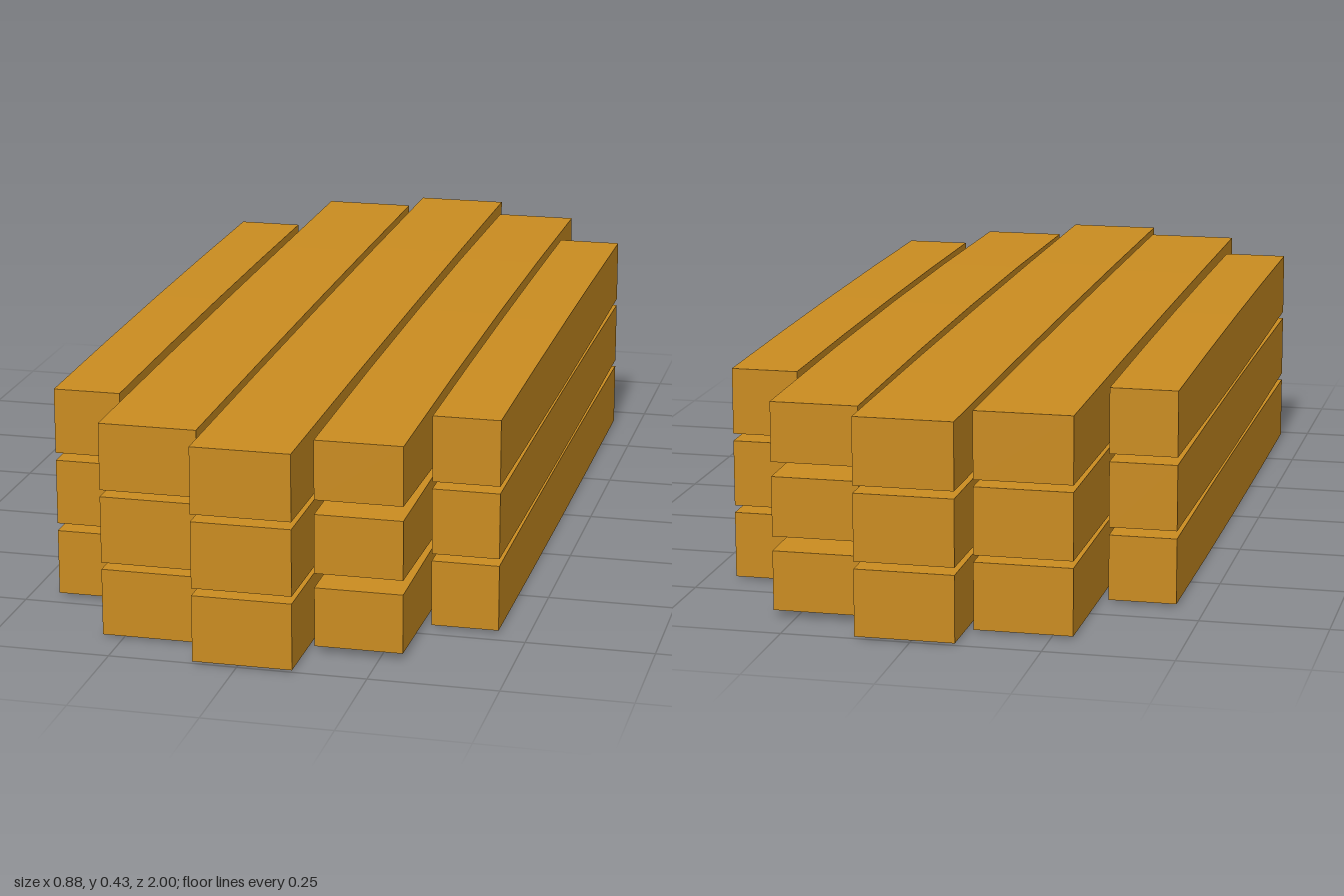
import * as THREE from 'three';

// One column of planks per entry: x range, z range, and how far the underside
// rises and the top drops towards the two ends
const COLUMNS = [
  { x: [-0.443, -0.31], z: [-0.67, 0.711], rise: 0.005, drop: 0.004 },
  { x: [-0.291, -0.1], z: [-0.911, 0.905], rise: 0.004, drop: 0.003 },
  { x: [-0.086, 0.107], z: [-1, 1], rise: 0.004, drop: 0.004 },
  { x: [0.123, 0.294], z: [-0.9, 0.893], rise: 0.013, drop: 0.009 },
  { x: [0.309, 0.441], z: [-0.671, 0.711], rise: 0.004, drop: 0.004 },
];
const ROWS = 3, PITCH = 0.1455, HEIGHT = 0.139;

// Rough-sawn beam that is slightly thinner at its ends
function beamGeometry({ x, z, rise, drop }) {
  const geo = new THREE.BoxGeometry(x[1] - x[0], HEIGHT, z[1] - z[0], 1, 1, 4);
  const pos = geo.attributes.position;
  const half = (z[1] - z[0]) / 2;
  for (let i = 0; i < pos.count; i++) {
    const t = (pos.getZ(i) / half) ** 2;
    const y = pos.getY(i);
    pos.setY(i, y < 0 ? y + rise * t : y - drop * t);
  }
  geo.translate((x[0] + x[1]) / 2, HEIGHT / 2, (z[0] + z[1]) / 2);
  geo.computeVertexNormals();
  return geo;
}

export function createModel() {
  const group = new THREE.Group();
  group.name = 'plankStack';
  const wood = new THREE.MeshStandardMaterial({ color: 0xca8c20, flatShading: true });
  wood.name = 'wood';

  // Three layers of five beams
  COLUMNS.forEach((column, c) => {
    const geo = beamGeometry(column);
    for (let r = 0; r < ROWS; r++) {
      const beam = new THREE.Mesh(geo, wood);
      beam.name = `plankColumn${c + 1}Layer${r + 1}`;
      beam.position.y = r * PITCH;
      group.add(beam);
    }
  });
  return group;
}
